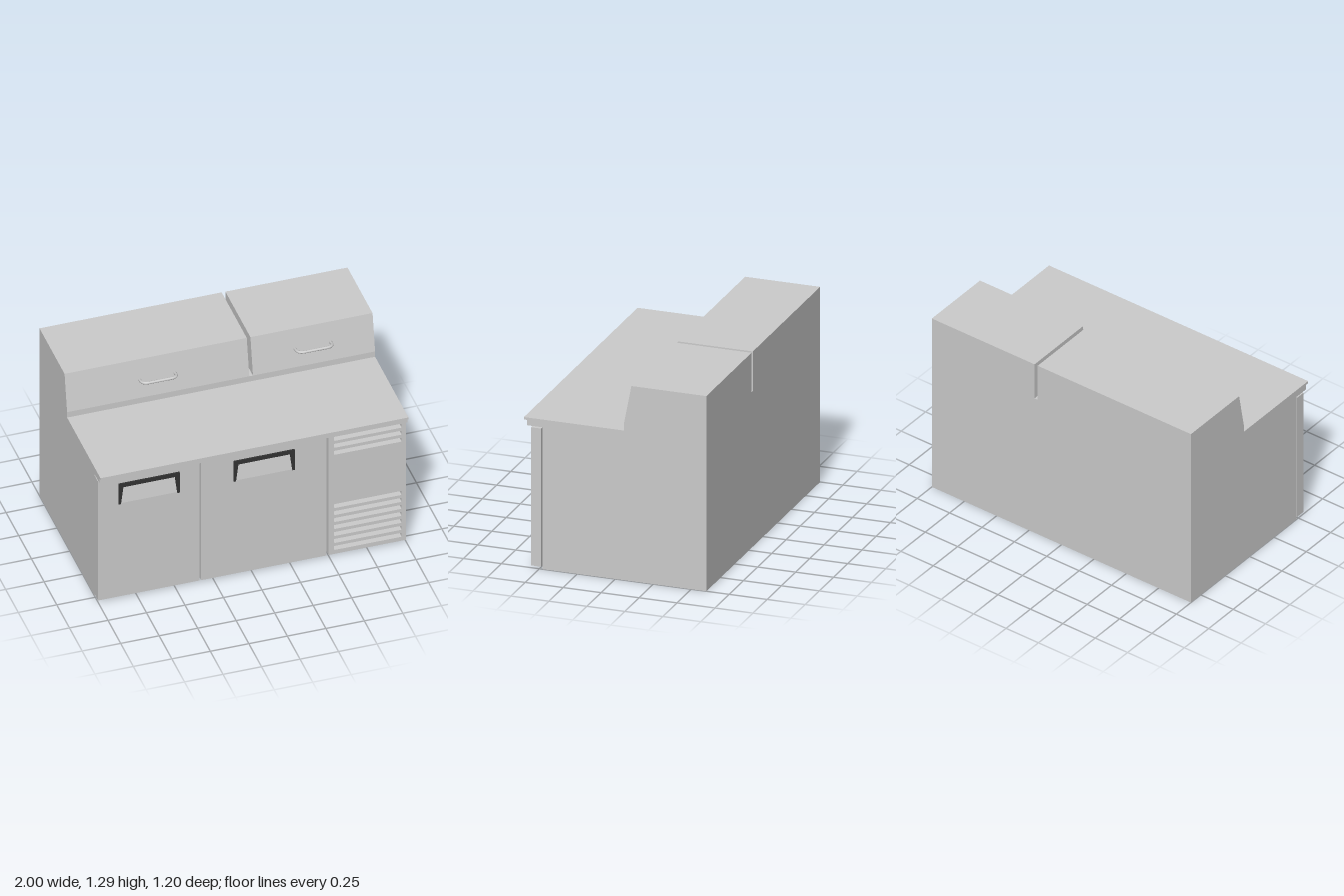
import * as THREE from 'three';

const grey = new THREE.MeshStandardMaterial({ color: 0xcccccc });
const dark = new THREE.MeshStandardMaterial({ color: 0x333333 });

const polygon = (points) => new THREE.Shape(points.map(([a, b]) => new THREE.Vector2(a, b)));

function addMesh(parent, name, geometry, material = grey) {
  const mesh = new THREE.Mesh(geometry, material);
  mesh.name = name;
  parent.add(mesh);
  return mesh;
}

// Side profile given as [z, y] points, swept from x0 to x1
function sweepX(points, x0, x1) {
  return new THREE.ExtrudeGeometry(polygon(points), { depth: x1 - x0, bevelEnabled: false })
    .rotateY(-Math.PI / 2).translate(x1, 0, 0);
}

// Front outline in x and y, extruded from z0 to z1
function slab(shape, z0, z1) {
  return new THREE.ExtrudeGeometry(shape, { depth: z1 - z0, bevelEnabled: false, curveSegments: 4 })
    .translate(0, 0, z0);
}

const rect = (x0, x1, y0, y1) => polygon([[x0, y0], [x1, y0], [x1, y1], [x0, y1]]);

function roundedSlot(x0, x1, y0, y1, r) {
  const p = new THREE.Path();
  p.absarc(x1 - r, y0 + r, r, -Math.PI / 2, 0);
  p.absarc(x1 - r, y1 - r, r, 0, Math.PI / 2);
  p.absarc(x0 + r, y1 - r, r, Math.PI / 2, Math.PI);
  p.absarc(x0 + r, y0 + r, r, Math.PI, Math.PI * 1.5);
  p.closePath();
  return p;
}

const BACK = -0.6, DOOR_BACK = 0.488, DOOR_FRONT = 0.556, DOOR_LOW = 0.015, DOOR_TOP = 0.928;

// Door with a sloping finger pocket and a dark bracket around it
function makeDoor(name, x0, x1, px) {
  const door = new THREE.Group();
  door.name = name;
  const half = 0.198, low = 0.73, top = 0.885;
  const outline = rect(x0, x1, DOOR_LOW, DOOR_TOP);
  outline.holes.push(rect(px - half + 0.013, px + half - 0.013, low, top - 0.02));
  addMesh(door, 'doorPanel', slab(outline, DOOR_BACK, DOOR_FRONT));
  addMesh(door, 'fingerPocket', sweepX(
    [[DOOR_BACK, low], [DOOR_FRONT, low], [DOOR_FRONT - 0.022, top - 0.02], [DOOR_BACK, top - 0.02]],
    px - half + 0.013, px + half - 0.013));
  const bracket = polygon([
    [px - half, low], [px - half + 0.014, low], [px - half + 0.03, top - 0.028],
    [px + half - 0.03, top - 0.028], [px + half - 0.014, low], [px + half, low],
    [px + half, top], [px - half, top],
  ]);
  addMesh(door, 'doorHandle', slab(bracket, DOOR_FRONT - 0.002, DOOR_FRONT + 0.01), dark);
  return door;
}

// Bent tube pull, standing square to the sloping lid
function makeLidHandle(x) {
  const w = 0.115, d = 0.085, r = 0.045;
  const v = (a, b) => new THREE.Vector3(a, 0, b);
  const path = new THREE.CurvePath();
  path.add(new THREE.LineCurve3(v(-w, 0), v(-w, d - r)));
  path.add(new THREE.QuadraticBezierCurve3(v(-w, d - r), v(-w, d), v(-w + r, d)));
  path.add(new THREE.LineCurve3(v(-w + r, d), v(w - r, d)));
  path.add(new THREE.QuadraticBezierCurve3(v(w - r, d), v(w, d), v(w, d - r)));
  path.add(new THREE.LineCurve3(v(w, d - r), v(w, 0)));
  const mesh = new THREE.Mesh(new THREE.TubeGeometry(path, 60, 0.009, 12), grey);
  mesh.name = 'lidHandle';
  mesh.position.set(x, 1.15, -0.097);
  mesh.rotation.x = -0.19;
  return mesh;
}

export function createModel() {
  const model = new THREE.Group();
  model.name = 'prepCounter';

  // Cabinet with overhanging worktop and the low step under the lids
  addMesh(model, 'cabinet', sweepX([
    [BACK, 0], [0.48, 0], [0.48, 0.938], [0.582, 0.938], [0.582, 0.973], [0.602, 0.973],
    [0.602, 0.989], [-0.056, 0.989], [-0.056, 1.03], [BACK, 1.03],
  ], -1, 1));

  // Two sloping lids with a gap between them
  for (const [name, x0, x1] of [['rightLid', -1, 0.183], ['leftLid', 0.207, 1]]) {
    addMesh(model, name, sweepX(
      [[BACK, 1.03], [-0.056, 1.03], [-0.106, 1.29], [BACK, 1.29]], x0, x1));
  }
  for (const x of [-0.408, 0.603]) model.add(makeLidHandle(x));

  // Doors
  model.add(makeDoor('rightDoor', -1, -0.342, -0.671));
  model.add(makeDoor('middleDoor', -0.331, 0.484, 0.076));

  // Vent panel: three slots above, seven below
  const vent = rect(0.497, 1, DOOR_LOW, DOOR_TOP);
  for (const [first, count] of [[0.885, 3], [0.367, 7]]) {
    for (let i = 0; i < count; i++) {
      const y = first - i * 0.0537;
      vent.holes.push(roundedSlot(0.53, 0.97, y, y + 0.031, 0.007));
    }
  }
  addMesh(model, 'ventPanel', slab(vent, DOOR_BACK, DOOR_FRONT));

  return model;
}
